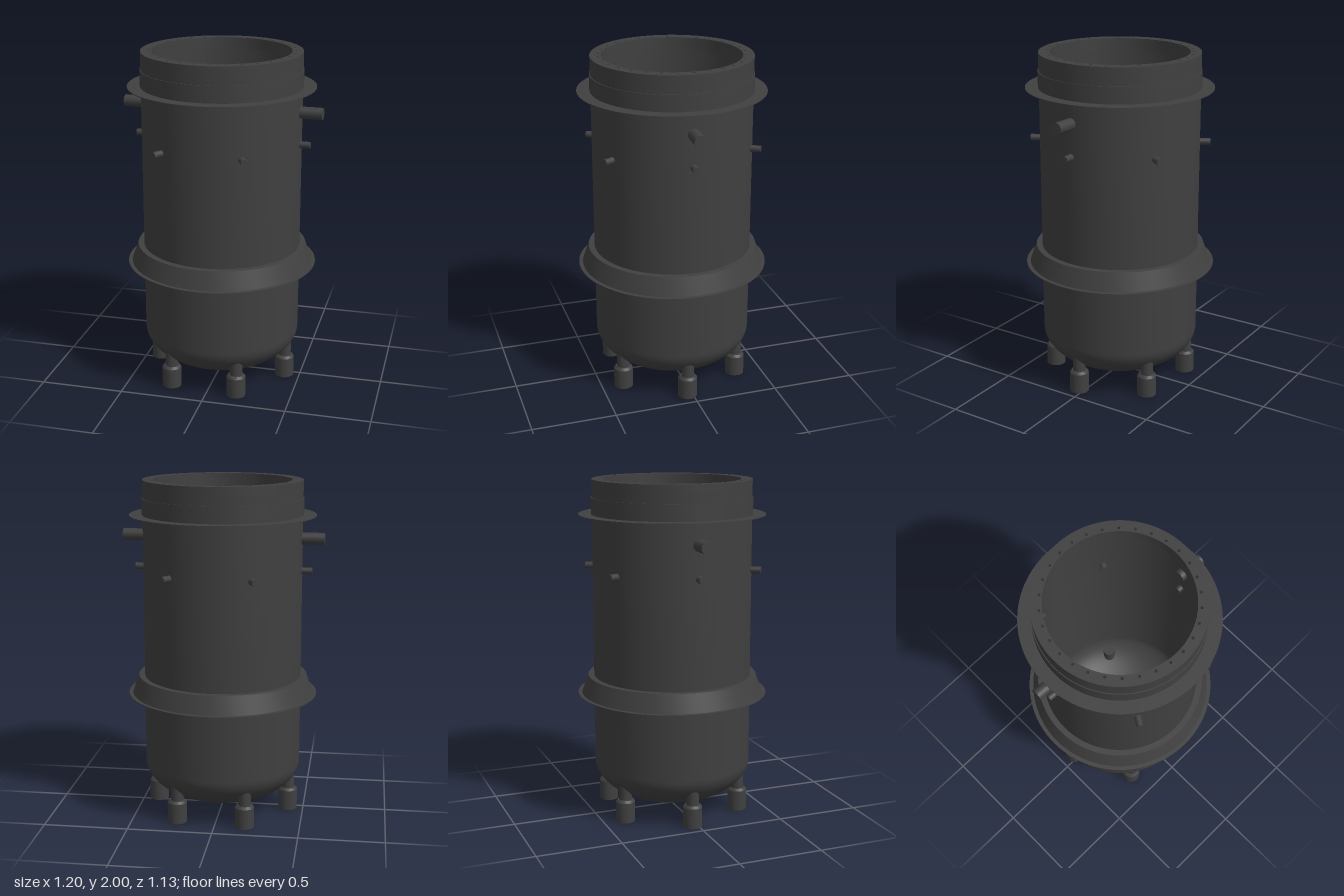
import * as THREE from 'three';
import { toCreasedNormals } from 'three/addons/utils/BufferGeometryUtils.js';

const metal = new THREE.MeshStandardMaterial({ color: 0x404040, side: THREE.DoubleSide });

function part(parent, name, geometry, x = 0, y = 0, z = 0) {
  const mesh = new THREE.Mesh(geometry, metal);
  mesh.name = name;
  mesh.position.set(x, y, z);
  parent.add(mesh);
  return mesh;
}

// Revolved profile of [radius, height] points, sharp at corners
function lathe(points, segments = 96) {
  const profile = points.map(([r, y]) => new THREE.Vector2(r, y));
  return toCreasedNormals(new THREE.LatheGeometry(profile, segments), 0.4);
}

export function createModel() {
  const model = new THREE.Group();
  model.name = 'pressureVessel';
  const R = 0.47;

  // Shell: elliptical bottom head and straight wall
  const shell = [];
  for (let i = 0; i <= 24; i++) {
    const a = (i / 24) * Math.PI / 2;
    shell.push([R * Math.sin(a), 0.3 - 0.245 * Math.cos(a)]);
  }
  shell.push([R, 1.95]);
  part(model, 'shell', lathe(shell));

  // Top ring with a circle of bolt holes
  const ring = new THREE.Shape().absarc(0, 0, R, 0, Math.PI * 2);
  ring.holes.push(new THREE.Path().absarc(0, 0, 0.405, 0, Math.PI * 2, true));
  for (let i = 0; i < 30; i++) {
    const a = (i / 30) * Math.PI * 2 - 0.027;
    const hole = new THREE.Path();
    hole.absarc(0.424 * Math.cos(a), 0.424 * Math.sin(a), 0.009, 0, Math.PI * 2, true);
    ring.holes.push(hole);
  }
  const ringGeo = new THREE.ExtrudeGeometry(ring, { depth: 0.07, bevelEnabled: false, curveSegments: 48 });
  ringGeo.rotateX(-Math.PI / 2);
  part(model, 'boltRing', toCreasedNormals(ringGeo, 0.4), 0, 1.93, 0);

  // Upper collar with its thin flange
  part(model, 'upperCollar', lathe([
    [R, 1.793], [0.55, 1.793], [0.55, 1.798], [0.475, 1.798], [0.475, 1.895], [R, 1.895],
  ]));

  // Lower flared skirt, open beneath, with a thin lip
  part(model, 'lowerSkirt', lathe([
    [R, 0.83], [0.5, 0.83], [0.538, 0.722], [0.566, 0.722],
    [0.566, 0.727], [0.543, 0.727], [0.505, 0.835], [R, 0.835],
  ]));

  // Radial nozzle around the wall
  function nozzle(name, angle, y, radius, reach) {
    const inner = 0.44;
    const holder = new THREE.Group();
    holder.name = name;
    holder.rotation.y = -angle;
    const geo = new THREE.CylinderGeometry(radius, radius, reach - inner, 24);
    geo.rotateZ(-Math.PI / 2);
    part(holder, name + 'Tube', geo, (reach + inner) / 2, y, 0);
    model.add(holder);
  }
  const turn = 0.047;
  for (let i = 0; i < 2; i++) nozzle('mainNozzle', turn + i * Math.PI, 1.665, 0.035, 0.6);
  for (let i = 0; i < 6; i++) nozzle('smallNozzle', turn + i * Math.PI / 3, 1.475, 0.02, 0.53);

  // Six legs: a post entering the bottom head and a wider foot
  const foot = lathe([[0, 0], [0.057, 0], [0.057, 0.122], [0.045, 0.136], [0, 0.136]], 32);
  const post = new THREE.CylinderGeometry(0.038, 0.038, 0.14, 32);
  for (let i = 0; i < 6; i++) {
    const a = 0.075 + i * Math.PI / 3;
    const leg = new THREE.Group();
    leg.name = 'leg';
    leg.position.set(0.407 * Math.cos(a), 0, 0.407 * Math.sin(a));
    part(leg, 'foot', foot);
    part(leg, 'post', post, 0, 0.18, 0);
    model.add(leg);
  }
  return model;
}
